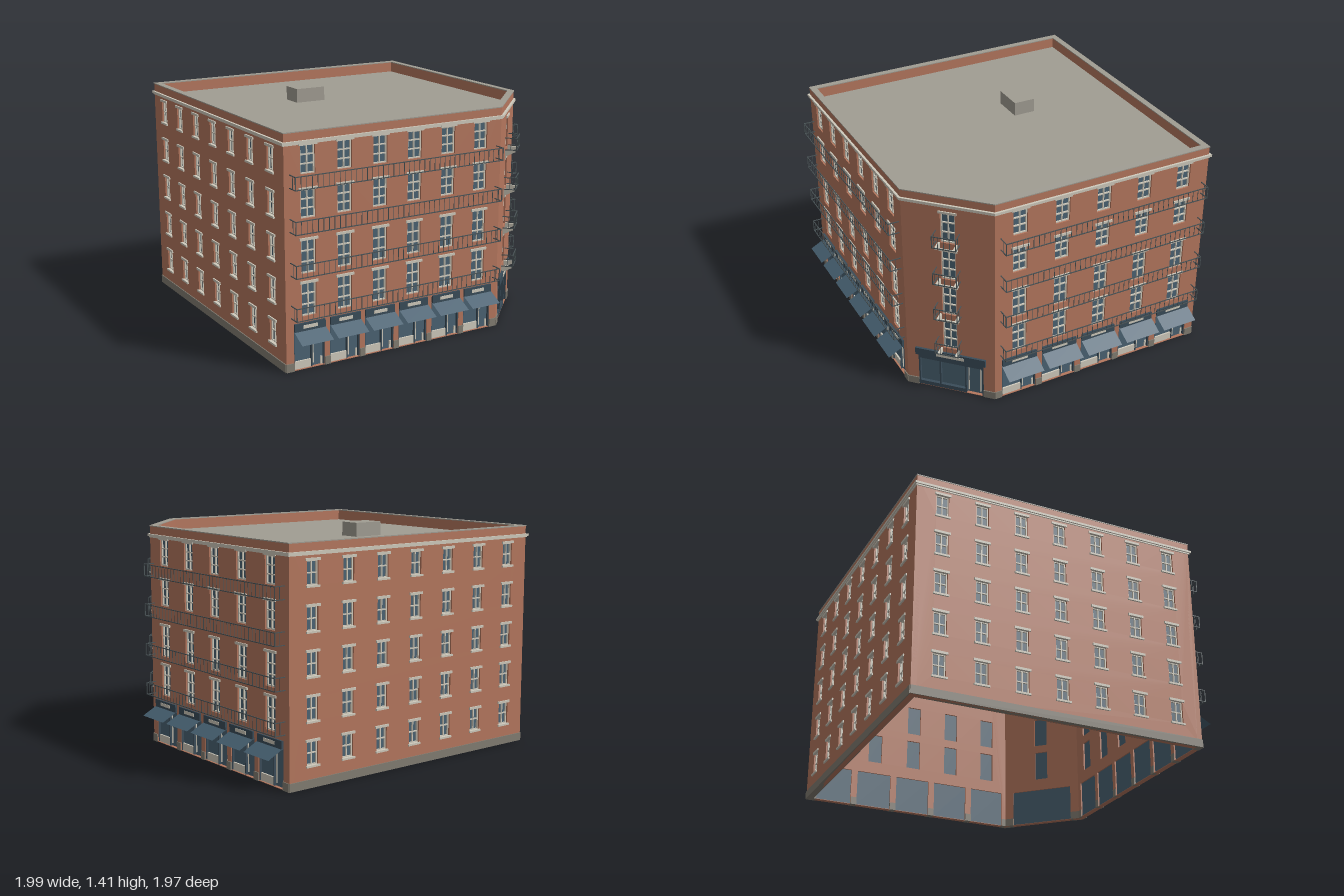
import * as THREE from 'three';
import { mergeGeometries } from 'three/addons/utils/BufferGeometryUtils.js';

const mat = (name, color, side = THREE.FrontSide) => {
  const m = new THREE.MeshStandardMaterial({ color, side });
  m.name = name;
  return m;
};

// Footprint: a rectangle whose front left corner is cut at 45 degrees
const X0 = -0.985, X1 = 0.89, Z0 = -0.97, Z1 = 0.88, CX = 0.49, CZ = 0.48;
const THICK = 0.035, TOP = 1.39;
const FLOORS = [0.32, 0.573, 0.826, 1.079];

function footprint(o) {
  const k = o * (Math.SQRT2 - 1);
  return [[X0 - o, Z0 - o], [X1 + o, Z0 - o], [X1 + o, CZ + k], [CX + k, Z1 + o], [X0 - o, Z1 + o]]
    .map(([x, z]) => new THREE.Vector2(x, z));
}

// Horizontal slab of the footprint, or a ring when an inner offset is given
function slab(name, material, outer, inner, y0, y1) {
  const shape = new THREE.Shape(footprint(outer));
  if (inner !== null) shape.holes.push(new THREE.Path(footprint(inner)));
  const geo = new THREE.ExtrudeGeometry(shape, { depth: y1 - y0, bevelEnabled: false });
  const mesh = new THREE.Mesh(geo, material);
  mesh.name = name;
  mesh.rotation.x = Math.PI / 2;
  mesh.position.y = y1;
  return mesh;
}

// Gathers the pieces of one facade and merges them by part name
class Parts {
  constructor() { this.map = new Map(); }
  add(name, material, geo) {
    if (!this.map.has(name)) this.map.set(name, { material, list: [] });
    this.map.get(name).list.push(geo.index ? geo.toNonIndexed() : geo);
  }
  // Box given by its limits in x, y and z
  box(name, material, x0, x1, y0, y1, z0, z1) {
    this.add(name, material, new THREE.BoxGeometry(x1 - x0, y1 - y0, z1 - z0)
      .translate((x0 + x1) / 2, (y0 + y1) / 2, (z0 + z1) / 2));
  }
  build(group) {
    for (const [name, { material, list }] of this.map) {
      const mesh = new THREE.Mesh(mergeGeometries(list), material);
      mesh.name = name;
      group.add(mesh);
    }
  }
}

export function createModel() {
  const brick = mat('brick', 0xb5775e);
  const stone = mat('pale stone', 0xcfcabc);
  const base = mat('plinth grey', 0x827d72);
  const roofGrey = mat('roof grey', 0xa19d93);
  const glass = mat('glass', 0x4b6373);
  const shop = mat('shopfront slate', 0x3a4c59);
  const cloth = mat('awning cloth', 0x465f70, THREE.DoubleSide);
  const iron = mat('railing iron', 0x4a5457);

  // Glazed window with frame bars, lintel and optional sill
  function windowUnit(p, x, y0, y1, w, rows, sill) {
    const h = w / 2, b = 0.0035;
    p.box('windowGlass', glass, x - h, x + h, y0, y1, -0.024, -0.02);
    const bar = (a, c, d, e) => p.box('windowFrames', stone, a, c, d, e, -0.02, -0.01);
    for (const s of [-1, 0, 1]) {
      const bx = x + s * (h - b);
      bar(bx - b, bx + b, y0, y1);
    }
    for (let i = 0; i <= rows; i++) {
      const by = y0 + b + (y1 - y0 - 2 * b) * i / rows;
      bar(x - h, x + h, by - b, by + b);
    }
    p.box('lintels', stone, x - h - 0.011, x + h + 0.011, y1 - 0.002, y1 + 0.013, -0.01, 0.008);
    if (sill) p.box('sills', stone, x - h - 0.008, x + h + 0.008, y0 - 0.01, y0 + 0.002, -0.01, 0.01);
  }

  // Open iron balcony rail around three sides
  function balcony(p, x0, x1, y, depth) {
    const t = 0.0025, high = 0.08;
    const post = (x, z, r) => p.box('balconyRails', iron, x - r, x + r, y, y + high, z - r, z + r);
    for (const ry of [y + t, y + high - t]) {
      p.box('balconyRails', iron, x0, x1, ry - t, ry + t, depth - 2 * t, depth);
      for (const sx of [x0, x1 - 2 * t]) p.box('balconyRails', iron, sx, sx + 2 * t, ry - t, ry + t, 0, depth);
    }
    const n = Math.round((x1 - x0) / 0.035);
    for (let i = 0; i <= n; i++) {
      post(x0 + t + (x1 - x0 - 2 * t) * i / n, depth - t, i % n ? 0.0014 : t);
    }
    for (const sx of [x0 + t, x1 - t]) post(sx, depth / 2, 0.0014);
  }

  // Shop bay: window with stall riser, door, sign board and sloping awning
  function shopBay(p, x, w) {
    const l = x - w / 2, r = x + w / 2, d = l + w * 0.6;
    p.box('shopGlass', glass, l, r, 0.003, 0.24, -0.026, -0.02);
    p.box('stallRisers', stone, l + 0.008, d - 0.006, 0.003, 0.05, -0.02, -0.01);
    p.box('shopFrames', shop, l, l + 0.006, 0.003, 0.24, -0.02, -0.005);
    p.box('shopFrames', shop, r - 0.006, r, 0.003, 0.24, -0.02, -0.005);
    p.box('shopFrames', shop, d - 0.006, d, 0.003, 0.24, -0.02, -0.005);
    p.box('doorTrim', stone, d + 0.008, d + 0.014, 0.02, 0.2, -0.02, -0.014);
    p.box('doorTrim', stone, r - 0.022, r - 0.01, 0.003, 0.05, -0.02, -0.014);
    p.box('signBoards', shop, l, r, 0.235, 0.285, 0, 0.012);
    p.box('signPanels', stone, x - w * 0.23, x + w * 0.23, 0.252, 0.272, 0.012, 0.015);
    const run = 0.105, drop = 0.055;
    p.add('awnings', cloth, new THREE.PlaneGeometry(w + 0.004, Math.hypot(run, drop))
      .rotateX(-Math.atan2(run, drop)).translate(x, 0.243 - drop / 2, run / 2));
  }

  // Wide corner entrance
  function cornerShop(p) {
    p.box('shopGlass', glass, -0.21, 0.21, 0.003, 0.24, -0.026, -0.02);
    for (const x of [-0.21, -0.075, 0.09, 0.2]) p.box('shopFrames', shop, x, x + 0.01, 0.003, 0.24, -0.02, 0);
    p.box('shopFrames', shop, -0.21, 0.21, 0.205, 0.24, -0.02, 0);
    p.box('shopFrames', shop, -0.21, 0.09, 0.003, 0.03, -0.02, 0);
    p.box('doorTrim', stone, 0.108, 0.113, 0.02, 0.195, -0.02, -0.012);
    p.box('doorTrim', stone, 0.183, 0.188, 0.02, 0.195, -0.02, -0.012);
    p.box('signBoards', shop, -0.225, 0.225, 0.238, 0.287, 0, 0.015);
    p.box('signPanels', stone, -0.09, 0.09, 0.254, 0.274, 0.015, 0.018);
  }

  // Wedge bracket below a balcony
  function bracket(p, x, y) {
    const s = new THREE.Shape([[0, 0], [0, -0.045], [0.065, -0.012], [0.065, 0]]
      .map(([a, b]) => new THREE.Vector2(a, b)));
    p.add('brackets', stone, new THREE.ExtrudeGeometry(s, { depth: 0.012, bevelEnabled: false })
      .rotateY(-Math.PI / 2).translate(x + 0.006, y, 0));
  }

  // One pierced wall; local z points outwards and x runs along it
  function facade(name, ax, az, bx, bz, angle, fill) {
    const group = new THREE.Group(), p = new Parts(), holes = [];
    const half = Math.hypot(bx - ax, bz - az) / 2;
    group.name = name;
    group.position.set((ax + bx) / 2, 0, (az + bz) / 2);
    group.rotation.y = angle;
    fill(p, (x, y0, y1, w) => holes.push([x - w / 2, x + w / 2, y0, y1]));
    const rect = (T, l, r, b, t) => new T([[l, b], [r, b], [r, t], [l, t]].map(([x, y]) => new THREE.Vector2(x, y)));
    const shape = rect(THREE.Shape, -half, half, 0, TOP);
    for (const h of holes) shape.holes.push(rect(THREE.Path, ...h));
    p.add('wall', brick, new THREE.ExtrudeGeometry(shape, { depth: THICK, bevelEnabled: false })
      .translate(0, 0, -THICK));
    // Plinth runs between the openings that reach the ground
    let from = -half;
    for (const [l, r] of [...holes.filter(h => h[2] < 0.05), [half, half]]) {
      p.box('plinth', base, from, l, 0, 0.05, -THICK - 0.003, 0.006);
      from = r;
    }
    p.build(group);
    return group;
  }

  // Shopping street side: shops, doors and windows behind long balconies
  const street = (count, step, shift, shopW, balL, balR) => (p, hole) => {
    for (let i = 0; i < count; i++) {
      const x = shift + (i - (count - 1) / 2) * step;
      hole(x, 0.003, 0.24, shopW);
      shopBay(p, x, shopW);
      FLOORS.forEach((f, k) => {
        const y0 = k < 2 ? f : f + 0.07, y1 = k < 2 ? f + 0.198 : f + 0.235;
        hole(x, y0, y1, 0.094);
        windowUnit(p, x, y0, y1, 0.094, 3, false);
      });
    }
    for (const f of FLOORS) balcony(p, balL, balR, f, 0.072);
  };

  // Plain side: regular grid of small windows
  const plain = step => (p, hole) => {
    for (let i = -3; i <= 3; i++) for (let k = 0; k < 5; k++) {
      const y = 0.2 + k * 0.255;
      hole(i * step, y - 0.07, y + 0.07, 0.08);
      windowUnit(p, i * step, y - 0.07, y + 0.07, 0.08, 2, true);
    }
  };

  const corner = (p, hole) => {
    hole(0, 0.003, 0.24, 0.42);
    cornerShop(p);
    for (const f of FLOORS) {
      hole(0, f, f + 0.2, 0.09);
      windowUnit(p, 0, f, f + 0.2, 0.09, 3, false);
      balcony(p, -0.075, 0.075, f, 0.075);
      for (const x of [-0.055, 0.055]) bracket(p, x, f);
    }
  };

  const model = new THREE.Group();
  model.name = 'cornerBuilding';
  model.add(
    facade('frontFacade', X0, Z1, CX, Z1, 0, street(6, 0.235, 0, 0.2, -0.705, 0.707)),
    facade('cornerFacade', CX, Z1, X1, CZ, Math.PI / 4, corner),
    facade('leftFacade', X1, CZ, X1, Z0, Math.PI / 2, street(5, 0.278, -0.005, 0.236, -0.69, 0.69)),
    facade('backFacade', X1, Z0, X0, Z0, Math.PI, plain(0.258)),
    facade('rightFacade', X0, Z0, X0, Z1, -Math.PI / 2, plain(0.254)),
    slab('roof', roofGrey, -0.02, null, 1.3, 1.322),
    slab('cornice', stone, 0.014, -0.01, 1.327, 1.341),
    slab('corniceBand', stone, 0.006, -0.01, 1.319, 1.327),
    slab('coping', roofGrey, 0.003, -THICK - 0.003, TOP - 0.002, TOP + 0.004),
  );

  // Roof hatch
  const hatch = new THREE.Mesh(new THREE.BoxGeometry(0.2, 0.09, 0.14), roofGrey);
  hatch.name = 'roofHatch';
  hatch.position.set(-0.228, 1.365, -0.26);
  model.add(hatch);
  return model;
}
